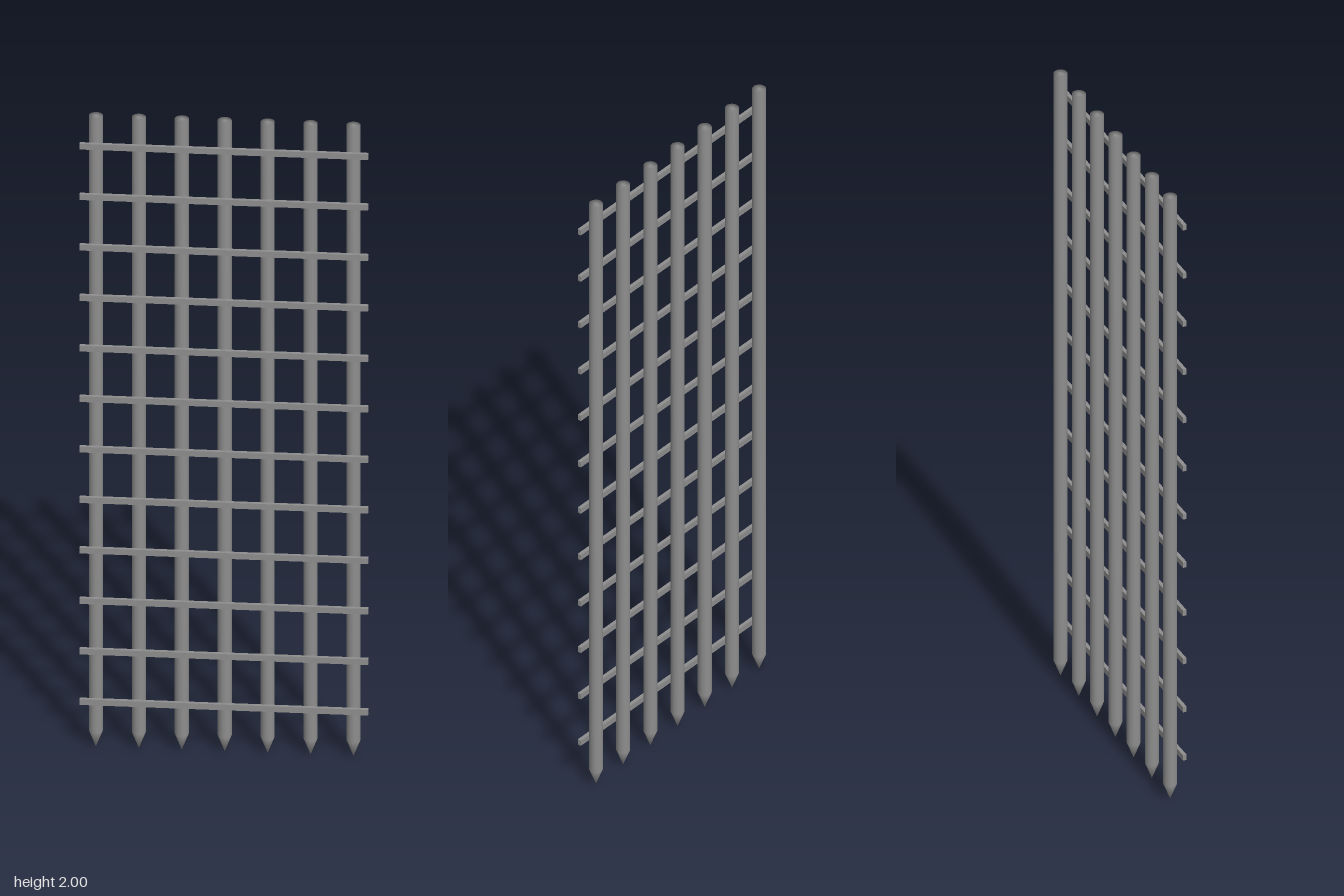
import * as THREE from 'three';
import { mergeVertices } from 'three/addons/utils/BufferGeometryUtils.js';

const material = new THREE.MeshStandardMaterial({ color: 0x8e8e8e });

// Round stake pointed at the foot, with normals smoothed over the top edge
function stakeGeometry(radius, tip, height) {
  const profile = [[0, 0], [radius, tip], [radius, height], [0, height]];
  const lathe = new THREE.LatheGeometry(profile.map(([x, y]) => new THREE.Vector2(x, y)), 20);
  lathe.deleteAttribute('normal');
  lathe.deleteAttribute('uv');
  const geometry = mergeVertices(lathe);
  geometry.computeVertexNormals();
  return geometry;
}

export function createModel() {
  const model = new THREE.Group();
  model.name = 'stakeFence';

  // Seven upright stakes
  const stake = stakeGeometry(0.02, 0.052, 2);
  for (let i = -3; i <= 3; i++) {
    const mesh = new THREE.Mesh(stake, material);
    mesh.name = 'stake';
    mesh.position.set(i * 0.1217, 0, -0.0055);
    model.add(mesh);
  }

  // Twelve flat cross slats fixed to the front of the stakes
  const slat = new THREE.BoxGeometry(0.818, 0.018, 0.011);
  for (let i = 0; i < 12; i++) {
    const mesh = new THREE.Mesh(slat, material);
    mesh.name = 'crossSlat';
    mesh.position.set(0, 0.154 + i * 0.16, 0.0195);
    model.add(mesh);
  }

  return model;
}
